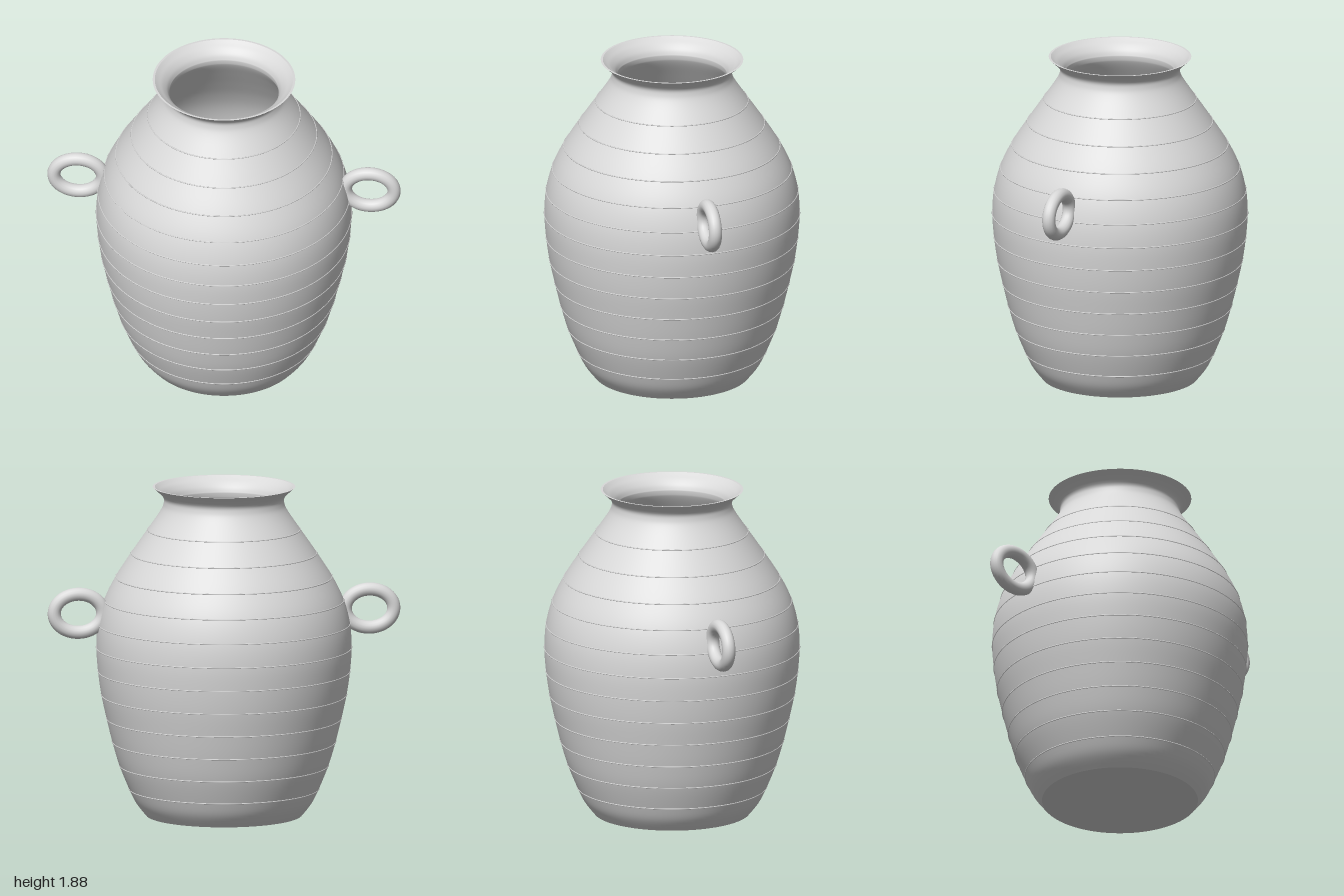
import * as THREE from 'three';

const clay = new THREE.MeshStandardMaterial({ color: 0xd9d9d9 });
clay.name = 'pale grey clay';

// Outer profile as [radius, height], foot to lip
const PROFILE = [
  [0.44, 0], [0.495, 0.07], [0.535, 0.15], [0.59, 0.285], [0.63, 0.42], [0.663, 0.555],
  [0.692, 0.69], [0.711, 0.825], [0.72, 0.96], [0.71, 1.095], [0.674, 1.23], [0.61, 1.36],
  [0.523, 1.495], [0.43, 1.63], [0.362, 1.73], [0.34, 1.78], [0.345, 1.82], [0.402, 1.875],
];
// Inside of the flared mouth, lip to neck
const MOUTH = [[0.39, 1.875], [0.372, 1.862], [0.345, 1.843], [0.32, 1.815], [0.308, 1.785]];
const WALL = 0.033;

function lathe(points, name) {
  const mesh = new THREE.Mesh(new THREE.LatheGeometry(points, 96), clay);
  mesh.name = name;
  return mesh;
}

// Radius of the outer curve at a given height
function radiusAt(points, y) {
  const i = Math.max(1, points.findIndex((p) => p.y >= y));
  const a = points[i - 1], b = points[i];
  return a.x + (b.x - a.x) * (y - a.y) / (b.y - a.y);
}

export function createModel() {
  const vase = new THREE.Group();
  vase.name = 'vase';

  const toVector = ([r, y]) => new THREE.Vector2(r, y);
  const outer = new THREE.SplineCurve(PROFILE.map(toVector)).getPoints(85);

  // Outer wall
  vase.add(lathe(outer, 'outerWall'));

  // Inner wall: curved mouth, then offset inward down to the floor
  const inner = [
    ...new THREE.SplineCurve(MOUTH.map(toVector)).getPoints(16),
    ...outer.filter((p) => p.y > 0.05 && p.y < 1.77).reverse()
      .map((p) => new THREE.Vector2(p.x - WALL, p.y)),
  ];
  vase.add(lathe(inner, 'innerWall'));

  // Lip edge
  vase.add(lathe([outer[outer.length - 1], inner[0]], 'lip'));

  // Inside floor and underside
  const last = inner[inner.length - 1];
  vase.add(lathe([last, new THREE.Vector2(0, last.y)], 'insideFloor'));
  vase.add(lathe([new THREE.Vector2(0, 0), outer[0]], 'underside'));

  // Fine raised ridges around the body
  for (let i = 0; i < 12; i++) {
    const y = 0.15 + i * 0.1345;
    const ridge = new THREE.Mesh(
      new THREE.TorusGeometry(radiusAt(outer, y), 0.0035, 6, 96), clay);
    ridge.name = 'bodyRidge' + (i + 1);
    ridge.rotation.x = Math.PI / 2;
    ridge.position.y = y;
    vase.add(ridge);
  }

  // Oval ring handles
  const oval = [];
  for (let i = 0; i < 24; i++) {
    const a = (i / 24) * Math.PI * 2;
    oval.push(new THREE.Vector3(0.1375 * Math.cos(a), 0.109 * Math.sin(a), 0));
  }
  const ring = new THREE.TubeGeometry(
    new THREE.CatmullRomCurve3(oval, true), 64, 0.0375, 16, true);
  for (const side of [1, -1]) {
    const handle = new THREE.Mesh(ring, clay);
    handle.name = side > 0 ? 'leftHandle' : 'rightHandle';
    handle.position.set(side * 0.825, 1.165, 0);
    vase.add(handle);
  }
  return vase;
}
